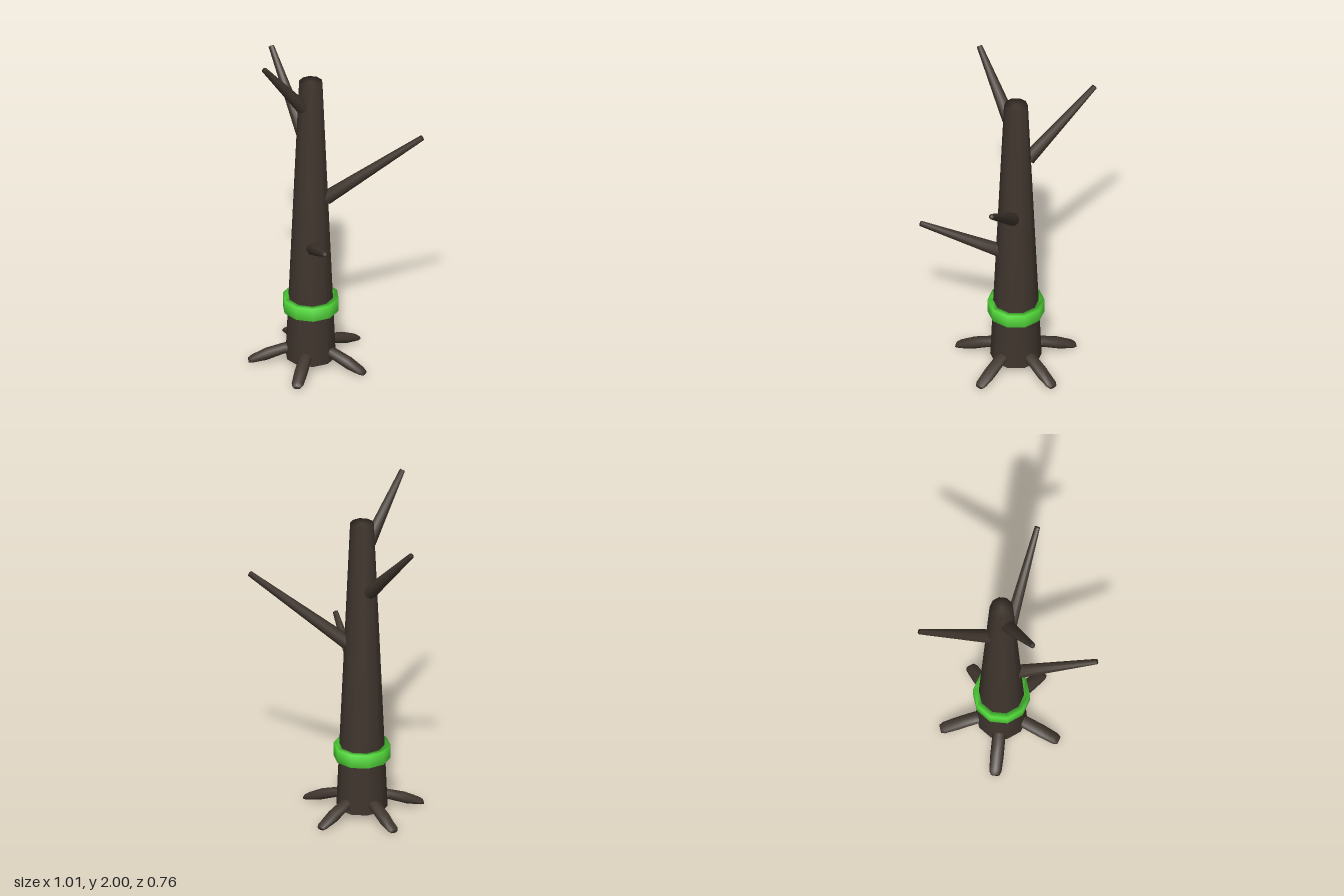
import * as THREE from 'three';
import { mergeVertices } from 'three/addons/utils/BufferGeometryUtils.js';

const CX = -0.085, CZ = -0.045; // trunk axis

// Weld all edges so caps and sides share soft normals
function soften(geometry) {
  geometry.deleteAttribute('normal');
  geometry.deleteAttribute('uv');
  const welded = mergeVertices(geometry, 1e-4);
  welded.computeVertexNormals();
  return welded;
}

// Tapered limb between two points
function limb(start, end, r0, r1, sides) {
  const a = new THREE.Vector3(...start), b = new THREE.Vector3(...end);
  const dir = b.clone().sub(a);
  const geo = soften(new THREE.CylinderGeometry(r1, r0, dir.length(), sides));
  geo.applyQuaternion(new THREE.Quaternion().setFromUnitVectors(new THREE.Vector3(0, 1, 0), dir.normalize()));
  geo.translate((a.x + b.x) / 2, (a.y + b.y) / 2, (a.z + b.z) / 2);
  return geo;
}

// Root along +x: a cylinder bent through stations of [distance, height, half width, half height]
function rootGeometry() {
  const stations = [
    [0.08, 0.085, 0.034, 0.03],
    [0.15, 0.079, 0.037, 0.029],
    [0.25, 0.046, 0.038, 0.034],
    [0.33, 0.019, 0.034, 0.018],
    [0.35, 0.011, 0.024, 0.011],
  ];
  const last = stations.length - 1;
  const geo = new THREE.CylinderGeometry(1, 1, 1, 8, last);
  const p = geo.attributes.position;
  for (let i = 0; i < p.count; i++) {
    const [d, y, w, h] = stations[Math.round((p.getY(i) + 0.5) * last)];
    p.setXYZ(i, d, y - p.getX(i) * h, p.getZ(i) * w);
  }
  return soften(geo);
}

export function createModel() {
  const model = new THREE.Group();
  const bark = new THREE.MeshStandardMaterial({ color: 0x40362e });
  bark.name = 'dark bark';
  const green = new THREE.MeshStandardMaterial({ color: 0x55e03c });
  green.name = 'bright green';

  const add = (name, geometry, material) => {
    const mesh = new THREE.Mesh(geometry, material);
    mesh.name = name;
    model.add(mesh);
    return mesh;
  };

  // Trunk
  add('trunk', limb([CX, 0.03, CZ], [CX, 1.785, CZ], 0.144, 0.067, 10), bark);

  // Band around the trunk
  const profile = [[0.128, 0.33], [0.16, 0.33], [0.16, 0.41], [0.128, 0.41], [0.128, 0.33]]
    .map(([r, y]) => new THREE.Vector2(r, y));
  add('band', soften(new THREE.LatheGeometry(profile, 10)), green).position.set(CX, 0, CZ);

  // Bare branches
  const branches = [
    [[-0.025, 0.765, 0.03], [0.255, 0.975, 0.368]],
    [[-0.005, 1.045, -0.08], [0.492, 1.472, -0.294]],
    [[-0.15, 1.385, -0.085], [-0.492, 1.775, -0.294]],
    [[-0.104, 1.645, 0.015], [-0.19, 1.99, 0.283]],
  ];
  branches.forEach(([a, b], i) => add(`branch${i + 1}`, limb(a, b, 0.04, 0.016, 8), bark));

  // Five roots spread evenly
  const root = rootGeometry();
  for (let i = 0; i < 5; i++) {
    const mesh = add(`root${i + 1}`, root, bark);
    mesh.position.set(CX, 0, CZ);
    mesh.rotation.y = (i * Math.PI * 2) / 5;
  }
  return model;
}
